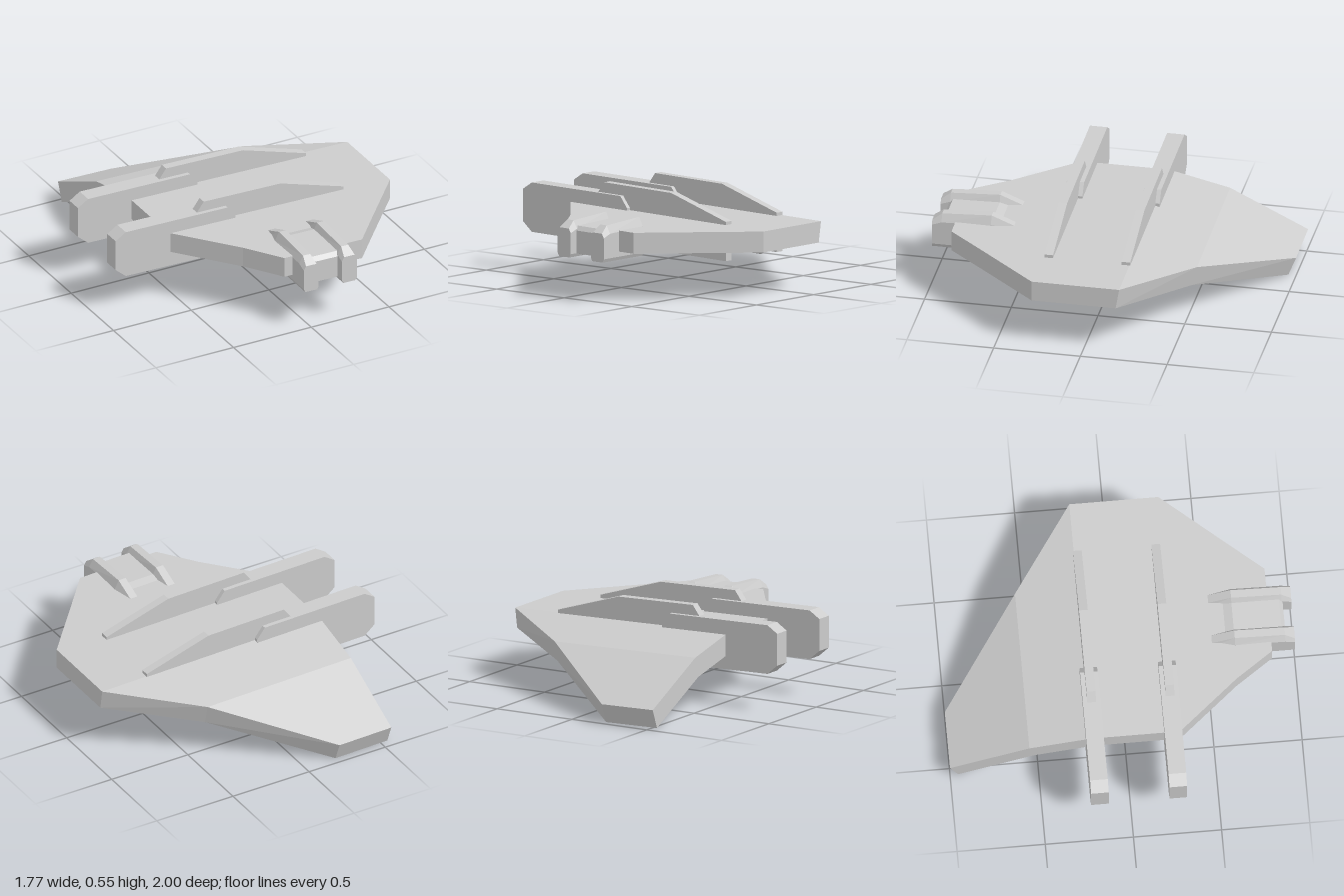
import * as THREE from 'three';

const material = new THREE.MeshStandardMaterial({ color: 0xcccccc, flatShading: true });
const TILT = -0.021; // everything drops slightly towards +x

function addMesh(parent, geometry, name) {
  const mesh = new THREE.Mesh(geometry, material);
  mesh.name = name;
  parent.add(mesh);
  return mesh;
}

// Skin rings of [x, y, z] points; rings run front to back, counter-clockwise seen from the front
function loft(rings) {
  const pos = [];
  const tri = (a, b, c) => pos.push(...a, ...b, ...c);
  const n = rings[0].length;
  for (let i = 0; i < rings.length - 1; i++) {
    for (let j = 0; j < n; j++) {
      const k = (j + 1) % n;
      const a = rings[i][j], b = rings[i][k], c = rings[i + 1][k], d = rings[i + 1][j];
      tri(a, d, c);
      tri(a, c, b);
    }
  }
  const first = rings[0], last = rings[rings.length - 1];
  for (let j = 1; j < n - 1; j++) {
    tri(first[0], first[j], first[j + 1]);
    tri(last[0], last[j + 1], last[j]);
  }
  const g = new THREE.BufferGeometry();
  g.setAttribute('position', new THREE.Float32BufferAttribute(pos, 3));
  for (let i = 0, p = g.attributes.position; i < p.count; i++) p.setY(i, p.getY(i) + TILT * p.getX(i));
  g.computeVertexNormals();
  return g;
}

// Upright plate: side outline in x/y, thickness centred on z
function plate(points, z, thickness) {
  const shape = new THREE.Shape(points.map(([x, y]) => new THREE.Vector2(x, y)));
  const g = new THREE.ExtrudeGeometry(shape, { depth: thickness, bevelEnabled: false });
  return g.translate(0, 0, z - thickness / 2);
}

export function createModel() {
  const model = new THREE.Group();
  model.name = 'wingedCraft';

  // Wing slab with bent-down tail: xLeft, xRight, top y, top z, bottom y, bottom z
  const rows = [
    [-0.10, 0.40, 0.404, 0.865, 0.284, 0.865],
    [-0.25, 0.585, 0.404, 0.65, 0.284, 0.65],
    [-0.54, 0.885, 0.404, 0.305, 0.284, 0.305],
    [-0.54, 0.885, 0.404, -0.20, 0.284, -0.18],
    [-0.54, 0.40, 0.325, -0.55, 0.207, -0.52],
    [-0.54, -0.20, 0.108, -1.0, -0.004, -0.955],
  ];
  addMesh(model, loft(rows.map(([l, r, ty, tz, by, bz]) =>
    [[l, by, bz], [r, by, bz], [r, ty, tz], [l, ty, tz]])), 'wing');

  // Two pairs of fins crossing the wing
  const boomOutline = [[-0.82, 0.215], [-0.12, 0.2], [-0.115, 0.42], [-0.165, 0.485],
    [-0.82, 0.497], [-0.885, 0.455], [-0.885, 0.27]];
  const finOutline = [[-0.35, 0.207], [0.595, 0.185], [0.595, 0.41], [0.19, 0.535],
    [-0.305, 0.547], [-0.35, 0.487]];
  for (const z of [-0.18, 0.265]) {
    const fins = new THREE.Group();
    fins.name = z > 0 ? 'frontFin' : 'rearFin';
    addMesh(fins, plate(boomOutline, z, 0.1), 'boom');
    addMesh(fins, plate(finOutline, z, 0.05), 'ridge');
    model.add(fins);
  }

  // Nose: two chamfered rails and the block between them
  const nose = new THREE.Group();
  nose.name = 'nose';
  // z, half width, top half width, bottom y, shoulder y, top y
  const railRows = [
    [1.0, 0.048, 0.034, 0.235, 0.375, 0.40],
    [0.945, 0.048, 0.023, 0.235, 0.395, 0.44],
    [0.66, 0.048, 0.023, 0.235, 0.405, 0.456],
    [0.52, 0.032, 0.023, 0.29, 0.36, 0.40],
  ];
  for (const x of [0, 0.245]) {
    addMesh(nose, loft(railRows.map(([z, w, t, b, s, y]) => [
      [x - w * 0.8, b, z], [x + w * 0.8, b, z], [x + w, b + 0.02, z], [x + w, s, z],
      [x + t, y, z], [x - t, y, z], [x - w, s, z], [x - w, b + 0.02, z],
    ])), 'noseRail');
  }
  const blockRows = [[0.95, 0.255, 0.385], [0.93, 0.25, 0.41], [0.66, 0.25, 0.418], [0.58, 0.29, 0.395]];
  addMesh(nose, loft(blockRows.map(([z, b, t]) =>
    [[0.02, b, z], [0.225, b, z], [0.225, t, z], [0.02, t, z]])), 'noseBlock');
  model.add(nose);

  return model;
}
